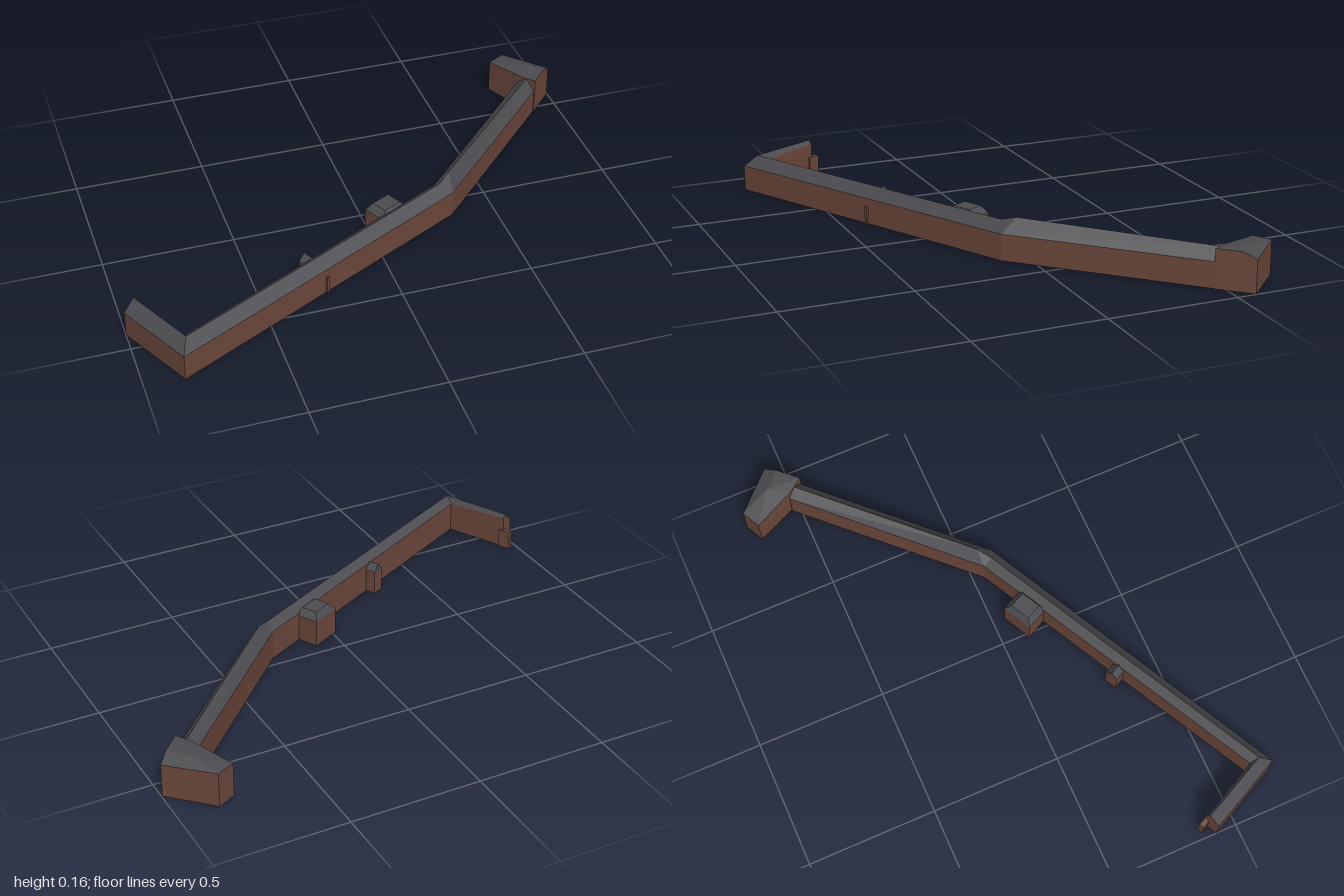
import * as THREE from 'three';

const brick = new THREE.MeshStandardMaterial({ color: 0x6b473b, side: THREE.DoubleSide, flatShading: true });
brick.name = 'brown brick';
const slate = new THREE.MeshStandardMaterial({ color: 0x4c4c50, side: THREE.DoubleSide, flatShading: true });
slate.name = 'grey slate';

// Flat-faced mesh from convex polygons, each a list of [x, y, z] corners
function facetMesh(name, polygons, material) {
  const pos = [];
  for (const p of polygons) {
    for (let i = 1; i < p.length - 1; i++) {
      const [a, b, c] = [p[0], p[i], p[i + 1]].map((v) => new THREE.Vector3(...v));
      const area = b.clone().sub(a).cross(c.clone().sub(a)).length();
      if (area > 1e-7) pos.push(...p[0], ...p[i], ...p[i + 1]);
    }
  }
  const g = new THREE.BufferGeometry();
  g.setAttribute('position', new THREE.Float32BufferAttribute(pos, 3));
  g.computeVertexNormals();
  const mesh = new THREE.Mesh(g, material);
  mesh.name = name;
  return mesh;
}

// Walls around a loop of [x, eaveHeight, z], roofed up to a matching loop of top points
function house(name, eaves, tops) {
  const walls = [], roof = [];
  eaves.forEach((a, i) => {
    const j = (i + 1) % eaves.length, b = eaves[j];
    walls.push([[a[0], 0, a[2]], [b[0], 0, b[2]], b, a]);
    roof.push([a, b, tops[j], tops[i]]);
  });
  roof.push(tops);
  const group = new THREE.Group();
  group.name = name;
  group.add(facetMesh(name + 'Walls', walls, brick), facetMesh(name + 'Roof', roof, slate));
  return group;
}

// Bent terrace: each station has outer eave, ridge and inner eave
function terrace() {
  const stations = [
    [[-1, 0.1, 0.42], [-0.96, 0.145, 0.4], [-0.95, 0.13, 0.395]],
    [[-0.855, 0.1, 0.712], [-0.833, 0.145, 0.66], [-0.834, 0.12, 0.625]],
    [[0.335, 0.102, 0.1], [0.29, 0.143, 0.08], [0.28, 0.115, 0.045]],
    [[0.335, 0.102, 0.1], [0.338, 0.16, 0.041], [0.28, 0.115, 0.045]],
    [[0.895, 0.1, -0.47], [0.87, 0.146, -0.5], [0.845, 0.115, -0.532]],
  ].map(([o, r, n]) => [[o[0], 0, o[2]], o, r, n, [n[0], 0, n[2]]]);
  const walls = [stations[0], [...stations[4]].reverse()], roof = [];
  for (let i = 0; i < stations.length - 1; i++) {
    const a = stations[i], b = stations[i + 1];
    for (let k = 0; k < 4; k++) {
      (k === 0 || k === 3 ? walls : roof).push([a[k], b[k], b[k + 1], a[k + 1]]);
    }
  }
  const group = new THREE.Group();
  group.name = 'terrace';
  group.add(facetMesh('terraceWalls', walls, brick), facetMesh('terraceRoof', roof, slate));
  return group;
}

const rect = (w, d, y) => [[-w / 2, y, -d / 2], [-w / 2, y, d / 2], [w / 2, y, d / 2], [w / 2, y, -d / 2]];

export function createModel() {
  const model = new THREE.Group();
  model.name = 'bentTerrace';
  model.add(terrace());

  // Wider house closing the right-hand end
  const apex = [0.9, 0.152, -0.6];
  const corners = [[0.78, 0.132, -0.685], [0.855, 0.146, -0.52], [0.895, 0.15, -0.465],
    [0.96, 0.15, -0.535], [0.997, 0.128, -0.575], [0.85, 0.134, -0.72]];
  model.add(house('endHouse', corners, corners.map(() => apex)));

  // Rear extensions, turned to follow the long wall
  const place = (part, x, z) => {
    part.position.set(x, 0, z);
    part.rotation.y = 0.474;
    model.add(part);
  };
  place(house('largeExtension', rect(0.124, 0.1, 0.105), rect(0.08, 0.065, 0.132)), 0.063, 0.12);
  const ridge = rect(0, 0.08, 0.122);
  place(house('smallExtension', rect(0.05, 0.08, 0.096), ridge), -0.294, 0.343);

  // Narrow pier on the front wall and low wall at the end of the wing
  const pier = new THREE.Mesh(new THREE.BoxGeometry(0.01, 0.07, 0.016), brick);
  pier.name = 'frontPier';
  place(pier, -0.255, 0.403);
  pier.position.y = 0.035;
  const stub = new THREE.Mesh(new THREE.BoxGeometry(0.02, 0.075, 0.05), brick);
  stub.name = 'wingEndWall';
  place(stub, -0.957, 0.39);
  stub.position.y = 0.0375;
  return model;
}
